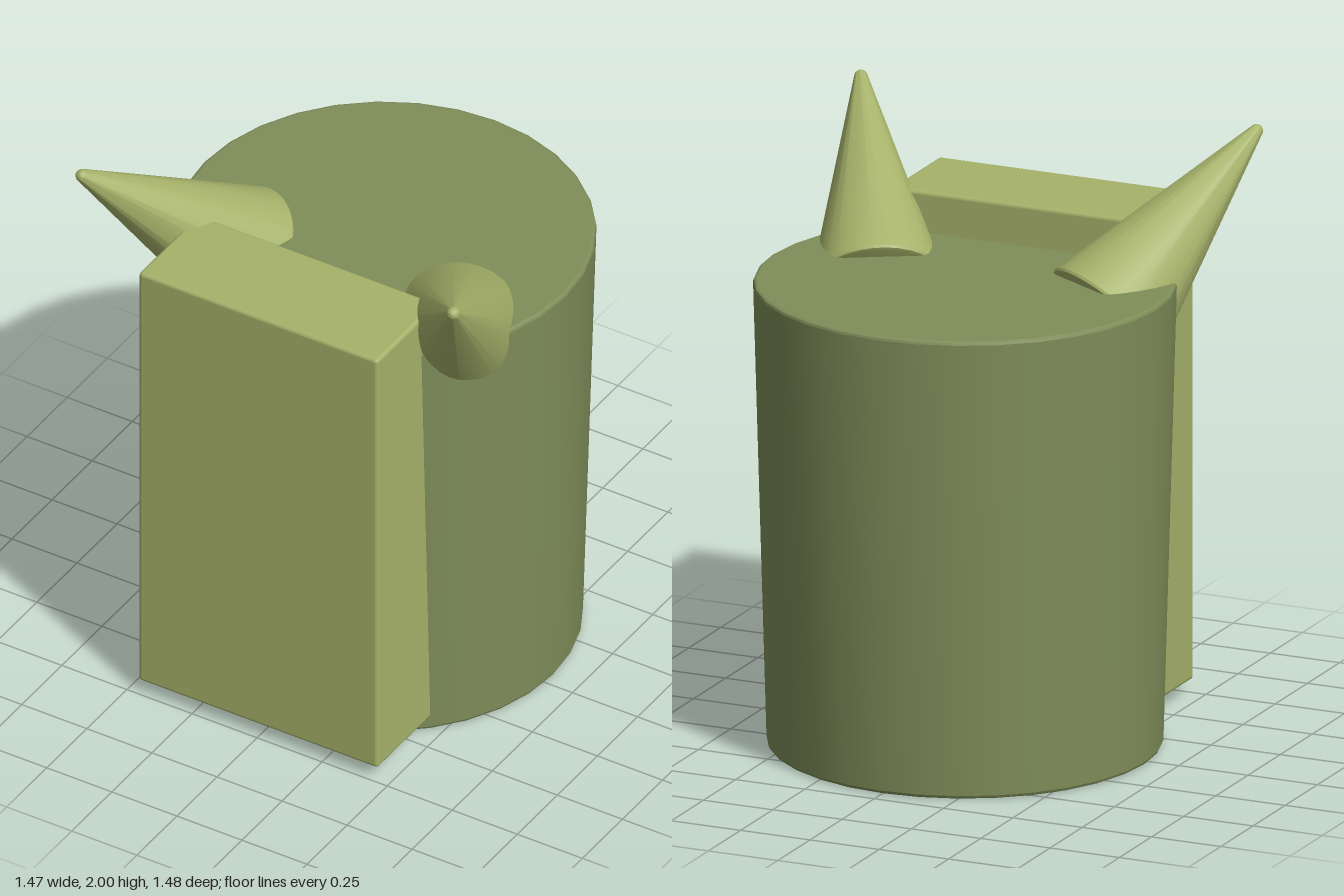
import * as THREE from 'three';
import { toCreasedNormals } from 'three/addons/utils/BufferGeometryUtils.js';
import { RoundedBoxGeometry } from 'three/addons/geometries/RoundedBoxGeometry.js';

const darkOlive = new THREE.MeshStandardMaterial({ name: 'dark olive', color: 0x7f8d59 });
const lightOlive = new THREE.MeshStandardMaterial({ name: 'light olive', color: 0xa6b26a });

// Turned solid from a bottom-to-top profile of [radius, height]
function turned(profile, crease) {
  const points = profile.map(([r, y]) => new THREE.Vector2(r, y));
  return toCreasedNormals(new THREE.LatheGeometry(points, 32), crease);
}

function addMesh(parent, name, geometry, material) {
  const mesh = new THREE.Mesh(geometry, material);
  mesh.name = name;
  parent.add(mesh);
  return mesh;
}

export function createModel() {
  const model = new THREE.Group();
  model.name = 'hornedBarrel';

  // Slightly flared round body with softened rims
  const body = addMesh(model, 'body', turned([
    [0, 0], [0.638, 0], [0.646, 0.004], [0.65, 0.012],
    [0.694, 1.568], [0.691, 1.576], [0.683, 1.58], [0, 1.58],
  ], 0.35), darkOlive);
  body.position.z = -0.045;

  // Tall block set into the front
  const block = addMesh(model, 'frontBlock',
    new RoundedBoxGeometry(0.92, 1.67, 0.375, 3, 0.014), lightOlive);
  block.position.set(0, 0.885, 0.5575);

  // Horns: round-tipped cones leaning up, forward and outward
  const length = 0.8, tip = 0.022;
  const profile = [[0, -length], [0.207, -length], [0.217, -length + 0.004], [0.22, -length + 0.013]];
  for (let i = 0; i <= 5; i++) {
    const a = 0.245 + (Math.PI / 2 - 0.245) * i / 5;
    profile.push([tip * Math.cos(a), tip * Math.sin(a)]);
  }
  const hornGeometry = turned(profile, 0.4);
  for (const [name, side] of [['leftHorn', 1], ['rightHorn', -1]]) {
    const horn = addMesh(model, name, hornGeometry, lightOlive);
    horn.position.set(side * 0.713, 1.978, 0.683);
    const direction = new THREE.Vector3(side * 0.38, 0.654, 0.654).normalize();
    horn.quaternion.setFromUnitVectors(new THREE.Vector3(0, 1, 0), direction);
  }

  return model;
}
